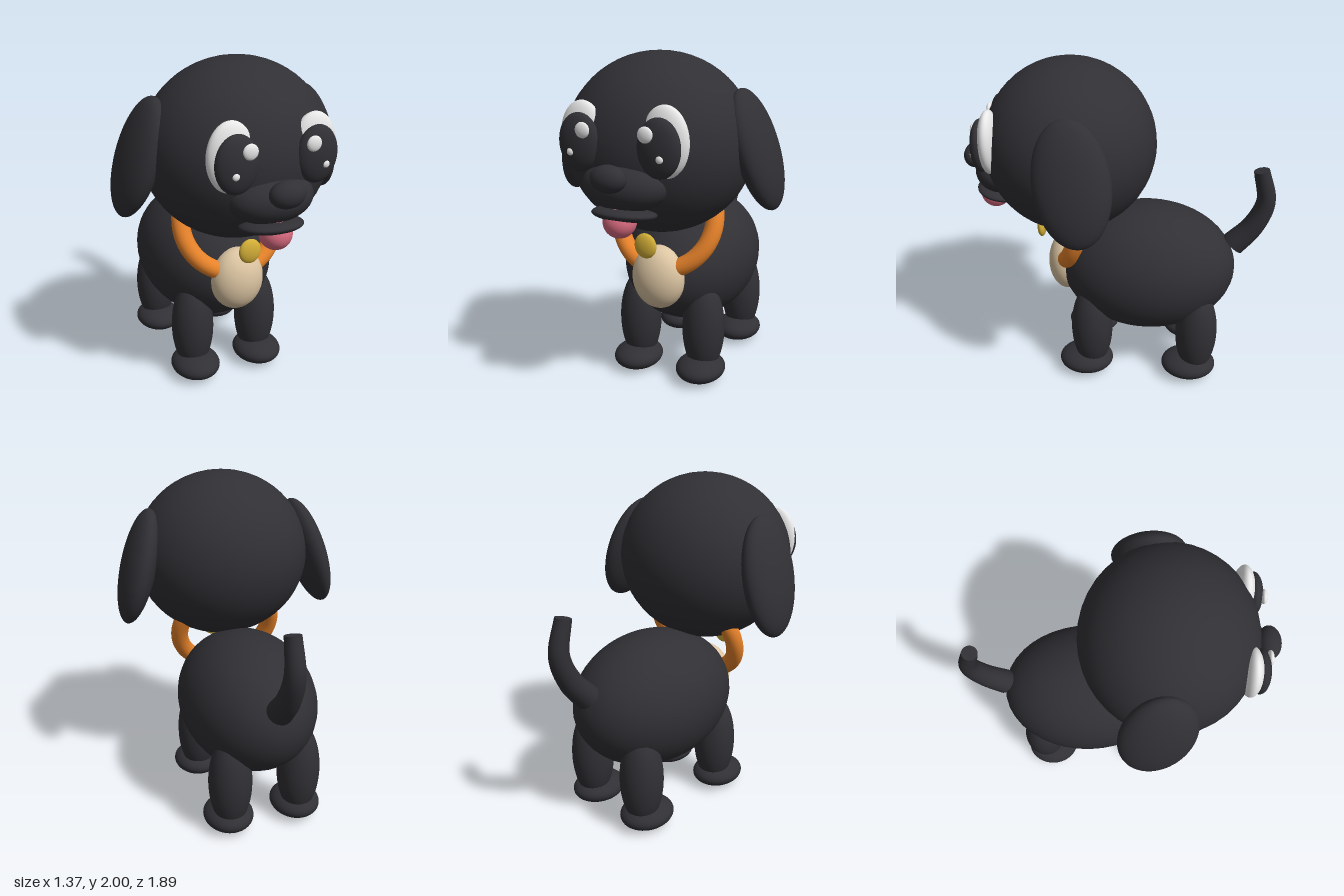
import * as THREE from 'three';

const flat = (name, color) => {
  const m = new THREE.MeshStandardMaterial({ color });
  m.name = name;
  return m;
};

export function createModel() {
  const dog = new THREE.Group();
  dog.name = 'puppy';

  const fur = flat('black fur', 0x303035);
  const tan = flat('tan chest', 0xdcc5a2);
  const orange = flat('orange collar', 0xe8832a);
  const gold = flat('gold tag', 0xd4af37);
  const pink = flat('pink tongue', 0xd96b80);
  const white = flat('eye white', 0xf2f2f2);

  const add = (name, geometry, material, parent = dog) => {
    const mesh = new THREE.Mesh(geometry, material);
    mesh.name = name;
    parent.add(mesh);
    return mesh;
  };

  // Ellipsoid from its centre and three radii
  const sphere = new THREE.SphereGeometry(1, 40, 28);
  const blob = (name, material, [x, y, z], [rx, ry, rz]) => {
    const mesh = add(name, sphere, material);
    mesh.position.set(x, y, z);
    mesh.scale.set(rx, ry, rz);
    return mesh;
  };

  // Body and head
  blob('body', fur, [0, 0.69, -0.18], [0.41, 0.41, 0.55]);
  blob('chestPatch', tan, [0, 0.69, 0.33], [0.165, 0.195, 0.125]);
  blob('head', fur, [0, 1.49, 0.29], [0.54, 0.51, 0.51]);

  // Muzzle, nose and mouth
  blob('muzzle', fur, [0, 1.33, 0.7], [0.245, 0.14, 0.17]);
  blob('nose', fur, [0, 1.397, 0.875], [0.1, 0.073, 0.068]);
  blob('lowerLip', fur, [0, 1.18, 0.72], [0.18, 0.042, 0.155]).rotation.x = -0.15;
  blob('tongue', pink, [0, 1.15, 0.77], [0.09, 0.09, 0.09]);

  // Paired parts: side +1 is the model's left
  for (const s of [1, -1]) {
    const side = s > 0 ? 'left' : 'right';

    const ear = blob(side + 'Ear', fur, [s * 0.55, 1.473, 0.205], [0.1, 0.35, 0.215]);
    ear.rotation.set(0.15, 0, s * 0.285);

    blob(side + 'EyeWhite', white, [s * 0.24, 1.575, 0.715], [0.132, 0.187, 0.06]);
    blob(side + 'Pupil', fur, [s * 0.23, 1.55, 0.768], [0.12, 0.155, 0.055]);
    blob(side + 'LargeGlint', white, [s * 0.18, 1.622, 0.817], [0.042, 0.042, 0.018]);
    blob(side + 'SmallGlint', white, [s * 0.257, 1.505, 0.816], [0.02, 0.02, 0.012]);

    for (const [end, z] of [['Front', 0.157], ['Hind', -0.505]]) {
      blob(side + end + 'Leg', fur, [s * 0.217, 0.33, z], [0.13, 0.3, 0.13]);
      blob(side + end + 'Paw', fur, [s * 0.217, 0.08, z + 0.04], [0.15, 0.08, 0.172]);
    }
  }

  // Collar and tag
  const collar = add('collar', new THREE.TorusGeometry(0.305, 0.054, 20, 64), orange);
  collar.position.set(0, 1.02, 0.215);
  collar.rotation.x = -0.4;
  blob('tag', gold, [0, 0.93, 0.492], [0.068, 0.074, 0.028]);

  // Tail: a tube narrowed towards its tip, closed by a disc at each end
  const tail = new THREE.Group();
  tail.name = 'tail';
  dog.add(tail);
  const path = new THREE.CatmullRomCurve3([
    [0.855, -0.71], [0.985, -0.82], [1.155, -0.885], [1.357, -0.843],
  ].map(([y, z]) => new THREE.Vector3(0, y, z)));
  const rings = 24, around = 24, r0 = 0.077, r1 = 0.047;
  const tube = new THREE.TubeGeometry(path, rings, 1, around);
  const pos = tube.attributes.position;
  const v = new THREE.Vector3();
  for (let i = 0; i < pos.count; i++) {
    const t = Math.floor(i / (around + 1)) / rings;
    const c = path.getPointAt(t);
    v.fromBufferAttribute(pos, i).sub(c).multiplyScalar(THREE.MathUtils.lerp(r0, r1, t)).add(c);
    pos.setXYZ(i, v.x, v.y, v.z);
  }
  add('tailTube', tube, fur, tail);
  for (const [name, t, r, dir] of [['tailBase', 0, r0, -1], ['tailTip', 1, r1, 1]]) {
    const cap = add(name, new THREE.CircleGeometry(r, around), fur, tail);
    const c = path.getPointAt(t);
    cap.position.copy(c);
    cap.lookAt(c.clone().addScaledVector(path.getTangentAt(t), dir));
  }

  return dog;
}
